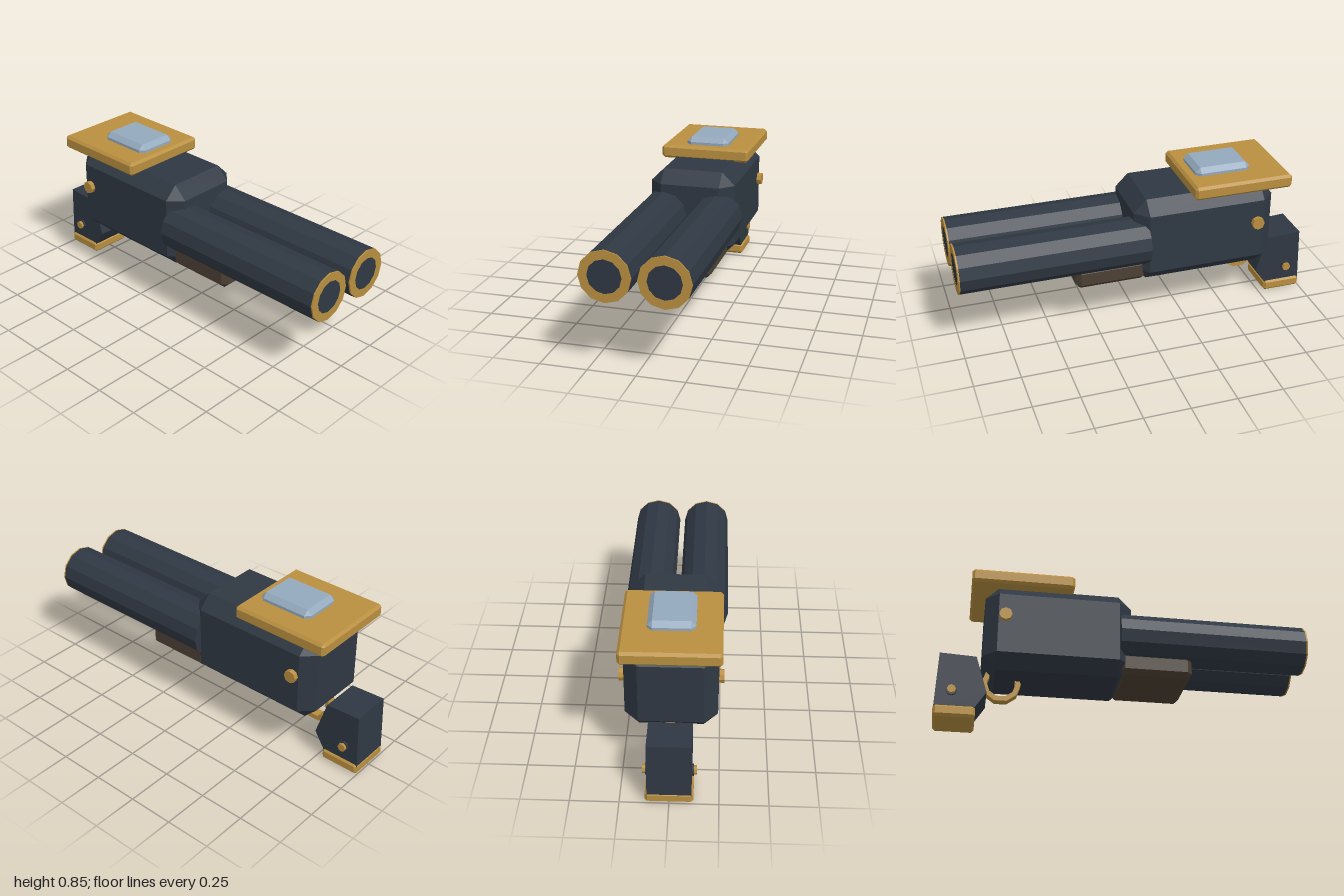
import * as THREE from 'three';
import { ConvexGeometry } from 'three/addons/geometries/ConvexGeometry.js';

const material = (name, color) => {
  const m = new THREE.MeshStandardMaterial({ color, flatShading: true });
  m.name = name;
  return m;
};

// Box given by its extents, with every edge cut by a flat chamfer
function chamferBox(x0, x1, y0, y1, hz, c) {
  const hx = (x1 - x0) / 2, hy = (y1 - y0) / 2, points = [];
  for (const sx of [-1, 1]) for (const sy of [-1, 1]) for (const sz of [-1, 1]) {
    points.push(
      new THREE.Vector3(sx * hx, sy * (hy - c), sz * (hz - c)),
      new THREE.Vector3(sx * (hx - c), sy * hy, sz * (hz - c)),
      new THREE.Vector3(sx * (hx - c), sy * (hy - c), sz * hz));
  }
  return new ConvexGeometry(points).translate((x0 + x1) / 2, (y0 + y1) / 2, 0);
}

// Cylinder lying along x from x0 to x1
function rodX(radius, x0, x1, sides) {
  return new THREE.CylinderGeometry(radius, radius, x1 - x0, sides)
    .rotateZ(-Math.PI / 2).translate((x0 + x1) / 2, 0, 0);
}

// Regular polygon outline with a corner on +x
function polygon(radius, sides) {
  return Array.from({ length: sides }, (_, i) => {
    const a = (i / sides) * Math.PI * 2;
    return new THREE.Vector2(Math.cos(a) * radius, Math.sin(a) * radius);
  });
}

// Extrusion centred on z = 0
function slab(shape, depth) {
  return new THREE.ExtrudeGeometry(shape, { depth, bevelEnabled: false }).translate(0, 0, -depth / 2);
}

export function createModel() {
  const group = new THREE.Group();
  const steel = material('dark steel', 0x2f3843);
  const brass = material('brass', 0xb98f3f);
  const wood = material('dark wood', 0x4b4034);
  const glass = material('pale glass', 0x94a9bd);

  const add = (name, geometry, mat, x = 0, y = 0, z = 0) => {
    const mesh = new THREE.Mesh(geometry, mat);
    mesh.name = name;
    mesh.position.set(x, y, z);
    group.add(mesh);
    return mesh;
  };

  // Receiver, sight plate and lens
  add('receiver', chamferBox(-0.762, 0.035, 0.26, 0.745, 0.237, 0.072), steel);
  add('sightPlate', chamferBox(-0.842, -0.285, 0.735, 0.81, 0.253, 0.014), brass);
  add('sightLens', chamferBox(-0.65, -0.338, 0.77, 0.851, 0.121, 0.026), glass);

  // Fore-end under the barrels
  add('foreEnd', chamferBox(-0.03, 0.365, 0.273, 0.397, 0.205, 0.027), wood);

  // Twin barrels with brass muzzle rings
  const ringShape = new THREE.Shape(polygon(0.134, 12));
  ringShape.holes.push(new THREE.Path(polygon(0.088, 12).reverse()));
  const muzzleRing = slab(ringShape, 0.008).rotateY(Math.PI / 2);
  for (const side of [-1, 1]) {
    const z = side * 0.149;
    add('barrel', rodX(0.134, -0.035, 0.992, 12), steel, 0, 0.497, z);
    add('muzzleRing', muzzleRing, brass, 0.996, 0.497, z);
    add('bore', rodX(0.088, 0.98, 0.999, 12), steel, 0, 0.497, z);
  }

  // Grip and its butt cap
  const gripShape = new THREE.Shape([
    [-0.997, 0.05], [-0.79, 0.05], [-0.727, 0.148], [-0.79, 0.35], [-0.985, 0.36],
  ].map(([x, y]) => new THREE.Vector2(x, y)));
  add('grip', slab(gripShape, 0.224), steel);
  add('buttCap', chamferBox(-1, -0.78, 0, 0.065, 0.122, 0.014), brass);

  // Trigger guard
  const guardShape = new THREE.Shape(polygon(0.105, 10));
  guardShape.holes.push(new THREE.Path(polygon(0.077, 10).reverse()));
  add('triggerGuard', slab(guardShape, 0.053), brass, -0.65, 0.242, 0);

  // Pins through receiver and grip
  const pin = (name, radius, halfLength, sides, mat, x, y) =>
    add(name, new THREE.CylinderGeometry(radius, radius, halfLength * 2, sides).rotateX(Math.PI / 2), mat, x, y, 0);
  pin('receiverPin', 0.035, 0.263, 8, brass, -0.653, 0.545);
  pin('gripWasher', 0.03, 0.122, 8, steel, -0.91, 0.148);
  pin('gripPin', 0.023, 0.137, 8, brass, -0.91, 0.148);

  return group;
}
